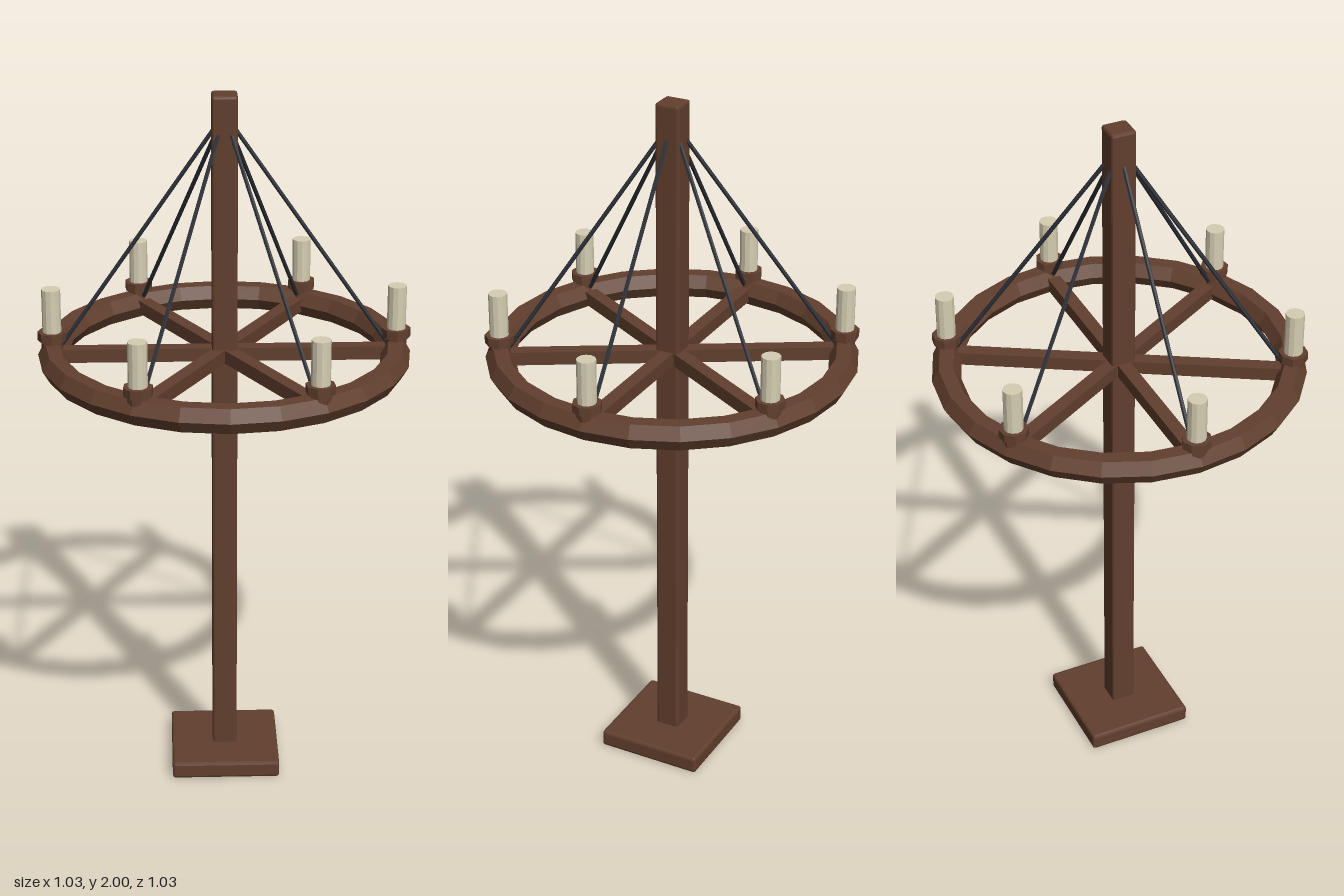
import * as THREE from 'three';
import { RoundedBoxGeometry } from 'three/addons/geometries/RoundedBoxGeometry.js';

function material(name, color) {
  const m = new THREE.MeshStandardMaterial({ color });
  m.name = name;
  m.flatShading = true;
  return m;
}

export function createModel() {
  const wood = material('darkWood', 0x613f2d);
  const iron = material('darkIron', 0x2b2e35);
  const wax = material('candleWax', 0xd6ceb2);

  const root = new THREE.Group();
  root.name = 'candleWheelPost';
  const add = (parent, name, geometry, mat, x = 0, y = 0, z = 0) => {
    const mesh = new THREE.Mesh(geometry, mat);
    mesh.name = name;
    mesh.position.set(x, y, z);
    parent.add(mesh);
    return mesh;
  };

  // Bevelled foot and post
  add(root, 'base', new RoundedBoxGeometry(0.31, 0.05, 0.31, 1, 0.008), wood, 0, 0.025, 0);
  add(root, 'post', new RoundedBoxGeometry(0.07, 1.96, 0.07, 1, 0.007), wood, 0, 1.02, 0);

  // Hexagonal-section wheel rim
  const ringY = 1.27, ringR = 0.473;
  const rim = new THREE.TorusGeometry(ringR, 0.04, 6, 24).rotateX(Math.PI / 2);
  add(root, 'wheelRim', rim, wood, 0, ringY, 0);

  // Shared parts of each arm, laid out along +x
  const spokeGeo = new THREE.BoxGeometry(0.44, 0.038, 0.038);
  const cupGeo = new THREE.LatheGeometry([
    [0, 1.29], [0.03, 1.29], [0.03, 1.312], [0.04, 1.313], [0.04, 1.337], [0, 1.337],
  ].map(([r, y]) => new THREE.Vector2(r, y)), 8);
  const candleGeo = new THREE.CylinderGeometry(0.026, 0.026, 0.13, 12);

  // Sloping iron stay from post to rim
  const stayTop = new THREE.Vector3(0.028, 1.905, 0);
  const stayEnd = new THREE.Vector3(0.445, 1.3, 0);
  const stayGeo = new THREE.TubeGeometry(new THREE.LineCurve3(stayTop, stayEnd), 1, 0.006, 6);

  for (let i = 0; i < 6; i++) {
    const arm = new THREE.Group();
    arm.name = 'arm' + (i + 1);
    arm.rotation.y = i * Math.PI / 3;
    add(arm, 'spoke', spokeGeo, wood, 0.23, ringY, 0);
    add(arm, 'candleCup', cupGeo, wood, ringR);
    add(arm, 'candle', candleGeo, wax, ringR, 1.395, 0);
    add(arm, 'stay', stayGeo, iron);
    root.add(arm);
  }
  return root;
}
